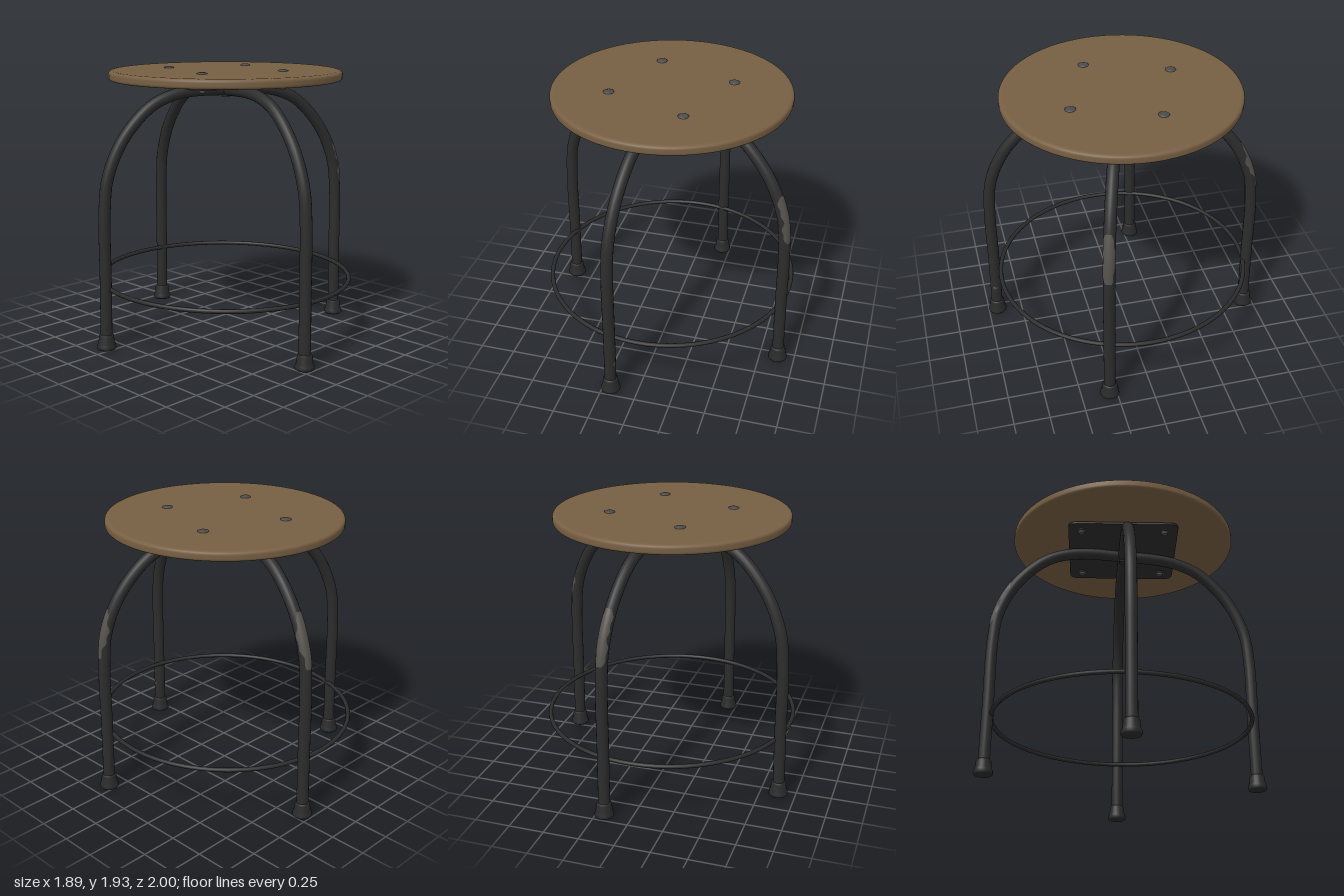
import * as THREE from 'three';

const mat = (name, color) => {
  const m = new THREE.MeshStandardMaterial({ color });
  m.name = name;
  return m;
};

export function createModel() {
  const wood = mat('brown wood', 0x775f43);
  const paint = mat('black painted steel', 0x2c2c2d);
  const worn = mat('worn bare steel', 0x55514b);
  const rubber = mat('dark rubber', 0x2a2a2b);
  const boltSteel = mat('grey bolt steel', 0x4c4b4a);
  const rust = mat('rust', 0x7a5a2c);
  worn.side = rust.side = THREE.DoubleSide;

  const root = new THREE.Group();
  const add = (name, geo, material, x = 0, y = 0, z = 0, parent = root) => {
    const m = new THREE.Mesh(geo, material);
    m.name = name;
    m.position.set(x, y, z);
    parent.add(m);
    return m;
  };
  const lathe = (pts, segs) =>
    new THREE.LatheGeometry(pts.map(p => new THREE.Vector2(...p)), segs);

  // Round seat with softened rim
  const seatShape = new THREE.Path();
  seatShape.moveTo(0, 1.86);
  seatShape.lineTo(0.8, 1.86);
  seatShape.quadraticCurveTo(0.82, 1.862, 0.82, 1.88);
  seatShape.lineTo(0.82, 1.902);
  seatShape.quadraticCurveTo(0.82, 1.924, 0.79, 1.926);
  seatShape.lineTo(0, 1.926);
  add('seat', new THREE.LatheGeometry(seatShape.getPoints(5), 72), wood, 0, 0, -0.005);

  // Mounting plate under the seat, with bolts through its corners
  const mount = new THREE.Group();
  mount.name = 'seatMount';
  mount.rotation.y = -0.355;
  mount.position.z = -0.01;
  root.add(mount);
  const roundedPlate = (h, r, depth) => {
    const s = new THREE.Shape();
    s.absarc(h - r, h - r, r, 0, Math.PI / 2);
    s.absarc(r - h, h - r, r, Math.PI / 2, Math.PI);
    s.absarc(r - h, r - h, r, Math.PI, Math.PI * 1.5);
    s.absarc(h - r, r - h, r, Math.PI * 1.5, Math.PI * 2);
    return new THREE.ExtrudeGeometry(s, { depth, bevelEnabled: false, curveSegments: 6 })
      .rotateX(-Math.PI / 2);
  };
  add('mountingPlate', roundedPlate(0.4, 0.06, 0.016), paint, 0, 1.824, 0, mount);
  add('seatSpacer', roundedPlate(0.29, 0.03, 0.02), paint, 0, 1.84, 0, mount);

  const boltHead = lathe([[0.037, 0], [0.036, 0.006], [0.024, 0.011], [0, 0.014]], 20);
  const nut = new THREE.CylinderGeometry(0.022, 0.022, 0.02, 6);
  const washer = new THREE.CylinderGeometry(0.034, 0.034, 0.006, 16);
  for (const sx of [-1, 1]) for (const sz of [-1, 1]) {
    const x = sx * 0.303, z = sz * 0.303;
    add('boltHead', boltHead, boltSteel, x, 1.925, z, mount);
    add('washer', washer, boltSteel, x, 1.821, z, mount);
    add('nut', nut, boltSteel, x, 1.81, z, mount);
    add('boltShank', new THREE.CylinderGeometry(0.014, 0.014, 0.06, 10), boltSteel, x, 1.83, z, mount);
  }

  // Two bent tubes crossing beneath the seat make the four legs
  const side = [[0.925, 0.05], [0.92, 0.5], [0.915, 1.0], [0.885, 1.23], [0.77, 1.48],
    [0.57, 1.69], [0.4, 1.765], [0.24, 1.787]];
  const foot = lathe([[0, 0.01], [0.061, 0.01], [0.067, 0.018], [0.065, 0.04], [0.057, 0.055],
    [0.052, 0.105], [0.046, 0.115], [0.038, 0.116]], 24);
  const R = 0.041;
  const arch = (name, ax, az) => {
    const at = ([r, y], s) => new THREE.Vector3(s * ax * r, y, s * az * r);
    const pts = [...side.map(p => at(p, 1)), at([0, 1.787], 1),
      ...side.slice().reverse().map(p => at(p, -1))];
    const curve = new THREE.CatmullRomCurve3(pts, false, 'centripetal');
    add(name, new THREE.TubeGeometry(curve, 110, R, 16), paint);
    for (const s of [1, -1])
      add('foot', foot, rubber, s * ax * side[0][0], 0, s * az * side[0][0]);
    return curve;
  };
  const archX = arch('sideLegs', 0.951, 0.324);
  const archZ = arch('frontBackLegs', -0.205, 1.008);

  // Uneven skin over a stretch of tube: arc centre and half-width in radians
  const patch = (name, curve, t0, t1, mid, half, material) => {
    const N = 24, M = 10, pos = [], idx = [];
    const a = curve.getPointAt(0), b = curve.getPointAt(1);
    const across = a.clone().sub(b).normalize().cross(new THREE.Vector3(0, 1, 0)).normalize();
    for (let i = 0; i <= N; i++) {
      const u = i / N, t = t0 + (t1 - t0) * u;
      const p = curve.getPointAt(t);
      const out = curve.getTangentAt(t).cross(across).normalize();
      if (out.dot(p.clone().setY(p.y - 0.8)) < 0) out.negate();
      const w = half * Math.pow(Math.sin(Math.PI * (0.04 + 0.92 * u)), 0.45) * (0.88 + 0.12 * Math.sin(u * 23));
      const c = mid + 0.25 * Math.sin(u * 9);
      for (let j = 0; j <= M; j++) {
        const f = c + w * (2 * j / M - 1);
        const q = p.clone().addScaledVector(out, Math.cos(f) * (R + 0.002))
          .addScaledVector(across, Math.sin(f) * (R + 0.002));
        pos.push(q.x, q.y, q.z);
        if (i < N && j < M) {
          const k = i * (M + 1) + j;
          idx.push(k, k + 1, k + M + 1, k + 1, k + M + 2, k + M + 1);
        }
      }
    }
    const g = new THREE.BufferGeometry();
    g.setAttribute('position', new THREE.Float32BufferAttribute(pos, 3));
    // Face the skin outward
    const [A, B, C] = [idx[0], idx[1], idx[2]].map(k => new THREE.Vector3().fromArray(pos, k * 3));
    const n = B.clone().sub(A).cross(C.sub(A));
    if (n.dot(A.sub(curve.getPointAt(t0))) < 0) idx.reverse();
    g.setIndex(idx);
    g.computeVertexNormals();
    add(name, g, material);
  };
  // Find the curve fraction where a leg reaches a given height
  const atHeight = (curve, y, far) => {
    let lo = 0, hi = 0.5;
    for (let i = 0; i < 30; i++) {
      const m = (lo + hi) / 2;
      if (curve.getPointAt(far ? 1 - m : m).y < y) lo = m; else hi = m;
    }
    return far ? 1 - lo : lo;
  };
  patch('wornPaintLeft', archX, atHeight(archX, 1.03), atHeight(archX, 1.36), 0, 1.5, worn);
  patch('wornPaintBack', archZ, atHeight(archZ, 1.12, true), atHeight(archZ, 1.46, true), 0, 1.4, worn);
  patch('rustFleck', archZ, atHeight(archZ, 0.24), atHeight(archZ, 0.265), -1.5, 0.3, rust);

  // Weld collar where the tubes cross
  add('crossingWeld', new THREE.CylinderGeometry(0.05, 0.03, 0.09, 16), paint, 0, 1.782, 0);

  // Foot ring
  const ring = add('footRing', new THREE.TorusGeometry(0.89, 0.0155, 10, 96).rotateX(Math.PI / 2),
    paint, 0, 0.44, -0.012);
  ring.scale.z = 1.022;
  return root;
}
